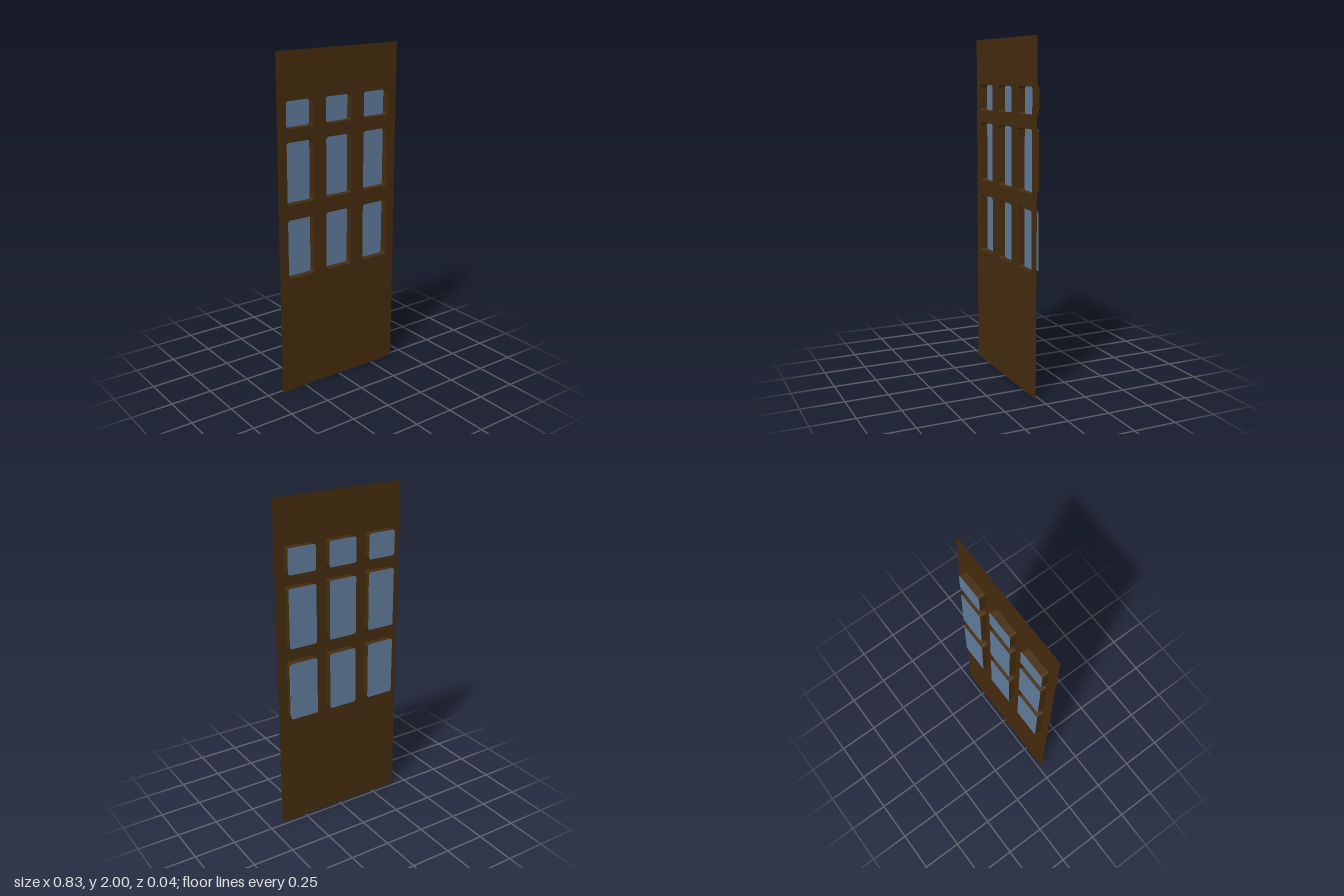
import * as THREE from 'three';

const FRONT = 0.021, BACK = -0.021;
const HALF_WIDTH = 0.413, HEIGHT = 2;

// Rectangle with small rounded corners
function roundedRect(x0, x1, y0, y1, r, Type = THREE.Shape) {
  const s = new Type();
  s.moveTo(x0 + r, y0);
  s.lineTo(x1 - r, y0);
  s.absarc(x1 - r, y0 + r, r, -Math.PI / 2, 0);
  s.lineTo(x1, y1 - r);
  s.absarc(x1 - r, y1 - r, r, 0, Math.PI / 2);
  s.lineTo(x0 + r, y1);
  s.absarc(x0 + r, y1 - r, r, Math.PI / 2, Math.PI);
  s.lineTo(x0, y0 + r);
  s.absarc(x0 + r, y0 + r, r, Math.PI, Math.PI * 1.5);
  return s;
}

// Open band that follows an outline from the front plane to the back plane
function bandGeometry(outline) {
  const pts = outline.getPoints(4);
  const n = pts.length;
  const plane = new THREE.PlaneGeometry(1, 1, n, 1);
  const pos = plane.attributes.position;
  for (let i = 0; i < pos.count; i++) {
    const p = pts[(i % (n + 1)) % n];
    pos.setXYZ(i, p.x, p.y, i <= n ? BACK : FRONT);
  }
  const band = plane.toNonIndexed();
  band.computeVertexNormals();
  return band;
}

export function createModel() {
  const wood = new THREE.MeshStandardMaterial({ color: 0x452c0e, side: THREE.DoubleSide });
  wood.name = 'dark wood';
  const glass = new THREE.MeshStandardMaterial({ color: 0x607d9c, side: THREE.DoubleSide });
  glass.name = 'blue glass';

  const door = new THREE.Group();
  door.name = 'door';
  const add = (name, geometry, material) => {
    const mesh = new THREE.Mesh(geometry, material);
    mesh.name = name;
    door.add(mesh);
    return mesh;
  };

  // Thin door sheet, pierced by the windows
  const sheet = new THREE.Shape();
  sheet.moveTo(-HALF_WIDTH, 0);
  sheet.lineTo(HALF_WIDTH, 0);
  sheet.lineTo(HALF_WIDTH, HEIGHT);
  sheet.lineTo(-HALF_WIDTH, HEIGHT);

  const columns = [[-0.353, -0.176], [-0.089, 0.089], [0.176, 0.353]];
  const rows = [[0.71, 1.06], [1.15, 1.504], [1.58, 1.732]];

  // Each window: a hole, a deep frame behind it and a pane at the back
  for (const [y0, y1] of rows) {
    for (const [x0, x1] of columns) {
      const outline = roundedRect(x0, x1, y0, y1, 0.015);
      sheet.holes.push(roundedRect(x0, x1, y0, y1, 0.015, THREE.Path));
      add('windowFrame', bandGeometry(outline), wood);
      add('windowPane', new THREE.ShapeGeometry(outline, 4), glass).position.z = BACK;
    }
  }
  add('doorSheet', new THREE.ShapeGeometry(sheet, 4), wood).position.z = FRONT;

  // Exposed glass edge on the lower outer window
  const edge = add('paneEdge', new THREE.PlaneGeometry(0.011, 0.33), glass);
  edge.rotation.y = Math.PI / 2;
  edge.position.set(0.3535, 0.885, BACK + 0.0055);

  return door;
}
